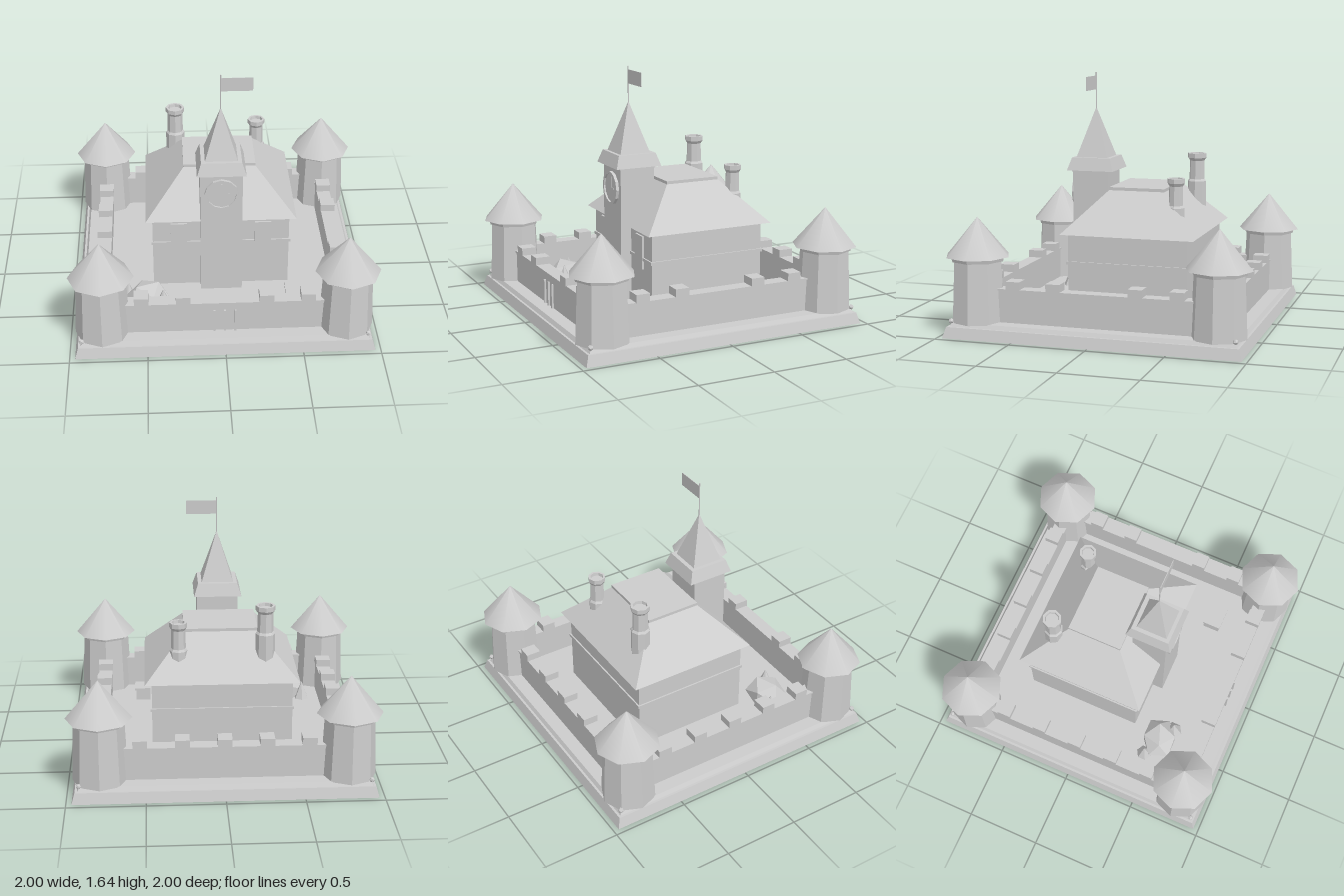
import * as THREE from 'three';

const stone = new THREE.MeshStandardMaterial({ color: 0xcccccc });
stone.name = 'paleStone';

export function createModel() {
  const root = new THREE.Group();
  root.name = 'castle';

  const add = (name, geo, x = 0, y = 0, z = 0, parent = root) => {
    const m = new THREE.Mesh(geo, stone);
    m.name = name;
    m.position.set(x, y, z);
    parent.add(m);
    return m;
  };
  // box given by its limits
  const block = (name, x0, x1, y0, y1, z0, z1, parent) =>
    add(name, new THREE.BoxGeometry(x1 - x0, y1 - y0, z1 - z0),
      (x0 + x1) / 2, (y0 + y1) / 2, (z0 + z1) / 2, parent);
  // box whose top is a different rectangle: [x0, x1, z0, z1] at each level
  const taper = (name, y0, low, y1, high) => {
    const g = new THREE.BoxGeometry(1, 1, 1);
    const p = g.attributes.position;
    for (let i = 0; i < p.count; i++) {
      const r = p.getY(i) > 0 ? high : low;
      p.setXYZ(i, p.getX(i) > 0 ? r[1] : r[0], p.getY(i) > 0 ? y1 : y0, p.getZ(i) > 0 ? r[3] : r[2]);
    }
    g.computeVertexNormals();
    return add(name, g);
  };
  const square = (s, cz = 0) => [-s, s, cz - s, cz + s];
  // faceted solid of revolution from [radius, height] points
  const turned = (points, sides) => {
    const g = new THREE.LatheGeometry(points.map(([r, y]) => new THREE.Vector2(r, y)), sides).toNonIndexed();
    g.computeVertexNormals();
    return g;
  };

  // Stepped base
  taper('baseSlab', 0, square(0.965), 0.07, square(0.945));
  taper('baseTop', 0.07, square(0.93), 0.095, square(0.915));

  // Corner towers with smooth conical roofs
  for (const sx of [-1, 1]) for (const sz of [-1, 1]) {
    const tower = new THREE.Group();
    tower.name = 'cornerTower';
    tower.position.set(sx * 0.787, 0, sz * 0.787);
    root.add(tower);
    add('towerBody', turned([[0.177, 0.09], [0.16, 0.485]], 8), 0, 0, 0, tower);
    add('towerCornice', turned([[0, 0.482], [0.172, 0.482], [0.18, 0.512]], 8), 0, 0, 0, tower);
    add('towerRoof', new THREE.ConeGeometry(0.211, 0.25, 8), 0, 0.635, 0, tower);
    add('cornerKnob', new THREE.IcosahedronGeometry(0.018, 0), sx * 0.133, 0.105, sz * 0.133, tower);
  }

  // Curtain walls with coping and merlons; each built along x, then turned
  const walls = [
    ['frontWall', 0, [-0.535, -0.268, 0.268, 0.535]],
    ['leftWall', Math.PI / 2, [-0.535, -0.268, 0.268, 0.535]],
    ['backWall', Math.PI, [-0.535, -0.268, 0, 0.268, 0.535]],
    ['rightWall', -Math.PI / 2, [-0.535, -0.268, 0, 0.268, 0.535]],
  ];
  for (const [name, turn, merlons] of walls) {
    const wall = new THREE.Group();
    wall.name = name;
    wall.rotation.y = turn;
    root.add(wall);
    block('wallBody', -0.66, 0.66, 0.09, 0.3, 0.745, 0.825, wall);
    block('wallCoping', -0.66, 0.66, 0.3, 0.312, 0.738, 0.832, wall);
    for (const x of merlons) block('merlon', x - 0.046, x + 0.046, 0.31, 0.362, 0.735, 0.835, wall);
  }

  // Gate bars
  for (const x of [-0.068, 0, 0.066]) block('gateBar', x - 0.007, x + 0.007, 0.095, 0.255, 0.82, 0.838);

  // Main hall and hipped roof
  block('hallWalls', -0.455, 0.455, 0.09, 0.625, -0.5, 0.297);
  block('hallBand', -0.465, 0.465, 0.418, 0.438, -0.51, 0.307);
  taper('hallRoof', 0.617, [-0.5, 0.5, -0.55, 0.34], 0.89, [-0.235, 0.235, -0.285, 0.08]);
  block('roofCap', -0.24, 0.24, 0.885, 0.905, -0.29, 0.085);
  for (const s of [-1, 1]) block('hallWindow', s * 0.28 - 0.054, s * 0.28 + 0.054, 0.36, 0.58, 0.295, 0.311);

  // Chimneys
  const chimney = (x, top, r) => add('chimney', turned([
    [r, 0.68], [r, top - 0.19], [r * 0.83, top - 0.175], [r * 0.78, top - 0.05],
    [r, top - 0.03], [r, top], [r * 0.75, top], [r * 0.7, top - 0.02], [0, top - 0.02]], 8), x, 0, -0.38);
  chimney(-0.283, 1.09, 0.064);
  chimney(0.278, 0.985, 0.058);

  // Clock tower and spire
  const cz = 0.25;
  block('clockTower', -0.138, 0.138, 0.09, 0.99, 0.13, 0.37);
  taper('spireFlare', 0.995, square(0.16, cz - 0.003), 1.08, square(0.132, cz - 0.003));
  block('spireSill', -0.143, 0.143, 0.985, 0.998, 0.125, 0.375);
  taper('spire', 1.08, square(0.106, cz), 1.41, square(0.001, cz));

  // Clock face, rim and hands
  add('clockFace', new THREE.CylinderGeometry(0.104, 0.104, 0.012, 12), 0, 0.845, 0.372).rotation.x = Math.PI / 2;
  const rim = turned([[0.096, -0.012], [0.112, -0.012], [0.112, 0.012], [0.096, 0.012], [0.096, -0.012]], 12);
  add('clockRim', rim, 0, 0.845, 0.378).rotation.x = Math.PI / 2;
  block('minuteHand', -0.005, 0.005, 0.84, 0.92, 0.376, 0.382);
  block('hourHand', -0.005, 0.05, 0.84, 0.85, 0.376, 0.382);

  // Flag
  add('flagPole', new THREE.CylinderGeometry(0.004, 0.004, 0.25, 6), 0, 1.52, cz);
  block('flag', 0, 0.205, 1.53, 1.622, cz - 0.002, cz + 0.002);

  // Courtyard rock, shrubs and crate
  const rock = add('rock', new THREE.IcosahedronGeometry(0.15, 0), -0.495, 0.14, 0.5);
  rock.scale.set(1, 0.75, 0.85);
  rock.rotation.y = 0.35;
  add('shrub', new THREE.ConeGeometry(0.055, 0.13, 6).toNonIndexed(), -0.625, 0.155, 0.44).geometry.computeVertexNormals();
  add('shrub', new THREE.ConeGeometry(0.065, 0.15, 6).toNonIndexed(), -0.393, 0.165, 0.565).geometry.computeVertexNormals();
  block('crate', 0.425, 0.57, 0.09, 0.17, 0.455, 0.57);
  block('crateLid', 0.417, 0.578, 0.17, 0.185, 0.45, 0.577);

  return root;
}
